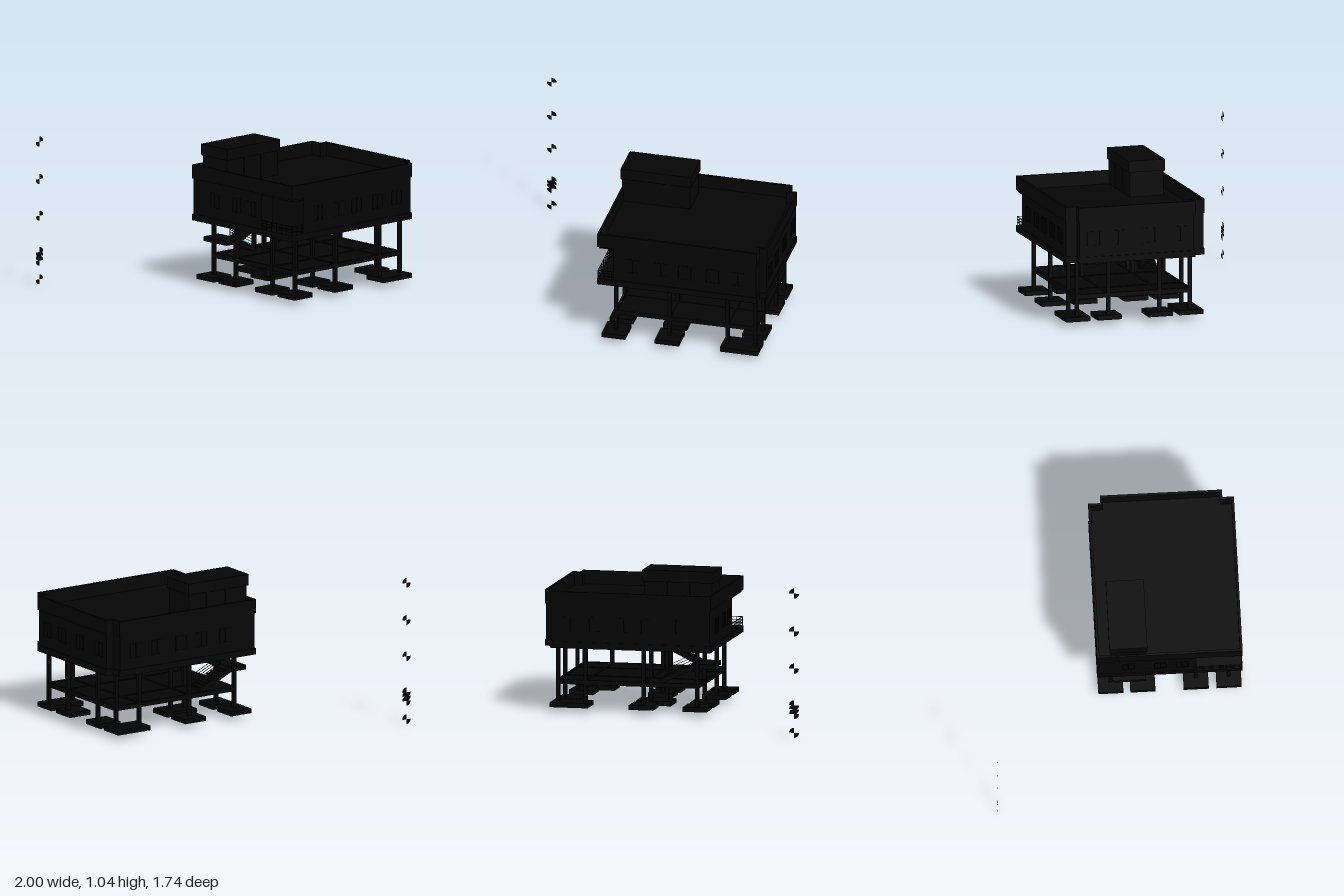
import * as THREE from 'three';

const mat = new THREE.MeshStandardMaterial({ color: 0x050505 });
const thinMat = new THREE.MeshStandardMaterial({ color: 0x050505, side: THREE.DoubleSide });

export function createModel() {
  const model = new THREE.Group();

  const add = (name, geo, material = mat) => {
    const mesh = new THREE.Mesh(geo, material);
    mesh.name = name;
    model.add(mesh);
    return mesh;
  };
  // Box given by its limits on each axis
  const box = (name, x0, x1, y0, y1, z0, z1) =>
    add(name, new THREE.BoxGeometry(x1 - x0, y1 - y0, z1 - z0))
      .position.set((x0 + x1) / 2, (y0 + y1) / 2, (z0 + z1) / 2);
  // Slanted bar in the x-y plane
  const bar = (name, xa, ya, xb, yb, z, thick, depth) => {
    const m = add(name, new THREE.BoxGeometry(Math.hypot(xb - xa, yb - ya), thick, depth));
    m.position.set((xa + xb) / 2, (ya + yb) / 2, z);
    m.rotation.z = Math.atan2(yb - ya, xb - xa);
  };
  // Floor plan (x, z) raised from y0 to y1, with an optional hole
  const toVec = pts => pts.map(([x, z]) => new THREE.Vector2(x, -z));
  const plan = (name, pts, y0, y1, hole) => {
    const shape = new THREE.Shape(toVec(pts));
    if (hole) shape.holes.push(new THREE.Path(toVec(hole)));
    const geo = new THREE.ExtrudeGeometry(shape, { depth: y1 - y0, bevelEnabled: false });
    add(name, geo.rotateX(-Math.PI / 2)).position.y = y0;
  };
  // Building outline with a shallow bay on the left, inset by d
  const outline = d => [
    [-0.2 + d, 0.87 - d], [0.94 - d, 0.87 - d], [0.94 - d, 0.79 - d], [0.995 - d, 0.79 - d],
    [0.995 - d, -0.055 + d], [0.94 - d, -0.055 + d], [0.94 - d, -0.14 + d], [-0.2 + d, -0.14 + d],
  ];

  // Footings: [x0, x1, z centre]
  const zRows = [0.778, 0.55, 0.18, -0.042];
  for (const z of zRows) {
    const corner = z === 0.778 || z === -0.042;
    const spans = [[-0.17, 0], [z === 0.18 ? 0.135 : 0.21, 0.383], [corner ? 0.675 : 0.775, 0.945]];
    for (const [a, b] of spans) box('footing', a, b, 0.037, 0.07, z - 0.087, z + 0.087);
    // Columns
    const xs = [-0.085, 0.295, 0.905];
    if (corner) xs.push(0.71);
    if (z === 0.18) xs.push(0.182);
    for (const x of xs) box('column', x - 0.013, x + 0.013, 0.06, 0.49, z - 0.012, z + 0.012);
    // Beams across the building
    box('groundBeam', -0.085, 0.905, 0.19, 0.222, z - 0.01, z + 0.01);
    box('floorBeam', -0.19, 0.95, 0.455, 0.49, z - 0.01, z + 0.01);
  }
  for (const x of [-0.085, 0.295, 0.71, 0.905]) {
    box('groundBeam', x - 0.01, x + 0.01, 0.19, 0.222, -0.042, 0.778);
    box('floorBeam', x - 0.01, x + 0.01, 0.455, 0.49, -0.13, 0.86);
  }
  box('groundSlab', -0.08, 0.9, 0.2, 0.217, -0.035, 0.775);

  // Upper floor: edge band, slab, walls with a recessed corner balcony
  plan('floorEdge', outline(0), 0.455, 0.5, outline(0.018));
  plan('floorSlab', outline(0.012), 0.482, 0.5);
  const walls = outline(0.007);
  walls.splice(0, 1, [-0.193, 0.55], [-0.085, 0.55], [-0.085, 0.863]);
  plan('walls', walls, 0.49, 0.755);

  // Roof with a deep parapet
  plan('roof', outline(0.012), 0.735, 0.755);
  plan('parapet', outline(0), 0.75, 0.85, outline(0.018));

  // Stair tower
  box('stairTower', -0.19, 0.295, 0.75, 0.95, -0.043, 0.2);
  box('stairTowerCap', -0.2, 0.305, 0.93, 1.01, -0.053, 0.21);
  for (const x of [-0.02, 0.14]) box('towerPilaster', x - 0.012, x + 0.012, 0.755, 0.93, -0.05, 0.207);

  // Windows: frame strips around each opening, on all four walls
  const windowFrame = (u, v, w, h, along, at) => {
    const strip = (u0, u1, y0, y1) => along === 'x'
      ? box('windowFrame', u0, u1, y0, y1, at - 0.004, at + 0.004)
      : box('windowFrame', at - 0.004, at + 0.004, y0, y1, u0, u1);
    for (const s of [-1, 0, 1]) strip(u + s * w / 2 - 0.003, u + s * w / 2 + 0.003, v - h / 2, v + h / 2);
    for (const s of [-1, 1]) strip(u - w / 2, u + w / 2, v + s * h / 2 - 0.003, v + s * h / 2 + 0.003);
  };
  for (const x of [0.05, 0.25, 0.42, 0.62, 0.8]) {
    windowFrame(x, 0.625, 0.09, 0.1, 'x', 0.863);
    windowFrame(x, 0.625, 0.09, 0.1, 'x', -0.133);
  }
  for (const z of [0.05, 0.28, 0.5, 0.68]) windowFrame(z, 0.625, 0.09, 0.1, 'z', 0.988);
  for (const z of [0.08, 0.3, 0.45]) windowFrame(z, 0.625, 0.08, 0.1, 'z', -0.193);

  // Balcony railing
  for (const y of [0.52, 0.54, 0.56]) {
    box('balconyRail', -0.197, -0.193, y, y + 0.004, 0.55, 0.865);
    box('balconyRail', -0.197, -0.085, y, y + 0.004, 0.861, 0.865);
  }
  for (let i = 0; i <= 6; i++) {
    const z = 0.553 + i * 0.0515;
    box('balconyPost', -0.197, -0.193, 0.5, 0.564, z - 0.002, z + 0.002);
  }
  for (const x of [-0.15, -0.1]) box('balconyPost', x - 0.002, x + 0.002, 0.5, 0.564, 0.861, 0.865);

  // Two stair flights meeting at a landing
  box('stairLanding', -0.195, -0.06, 0.325, 0.357, -0.03, 0.2);
  bar('lowerFlight', -0.075, 0.345, 0.185, 0.225, 0.03, 0.032, 0.12);
  bar('upperFlight', -0.075, 0.34, 0.185, 0.468, 0.15, 0.032, 0.1);
  const steps = 9;
  for (let i = 0; i < steps; i++) {
    const x = -0.05 + i * 0.026;
    const low = 0.345 - i * 0.012, up = 0.352 + i * 0.0128;
    box('lowerStep', x, x + 0.026, low - 0.015, low + 0.003, -0.03, 0.09);
    box('upperStep', x, x + 0.026, up - 0.005, up + 0.013, 0.1, 0.2);
  }
  for (let i = 1; i <= 4; i++) {
    const d = i * 0.019;
    bar('lowerStairRail', -0.055, 0.345 + d, 0.18, 0.237 + d, 0.088, 0.003, 0.003);
    const xEnd = Math.min(0.18, -0.055 + (0.465 - 0.36 - d) / 0.492);
    bar('upperStairRail', -0.055, 0.36 + d, xEnd, 0.36 + d + (xEnd + 0.055) * 0.492, 0.102, 0.003, 0.003);
  }
  box('stairRailPost', -0.057, -0.053, 0.35, 0.455, 0.086, 0.09);

  // Level markers: two opposite filled quarters in a thin ring
  for (const y of [1.01, 0.745, 0.485, 0.228, 0.2, 0.167, 0.035]) {
    const marker = new THREE.Group();
    marker.name = 'levelMarker';
    for (const start of [0, Math.PI]) {
      const quarter = new THREE.Mesh(new THREE.CircleGeometry(0.035, 12, start, Math.PI / 2), thinMat);
      quarter.name = 'markerQuarter';
      marker.add(quarter);
    }
    marker.position.set(-0.965, y, -0.87);
    model.add(marker);
  }
  return model;
}
